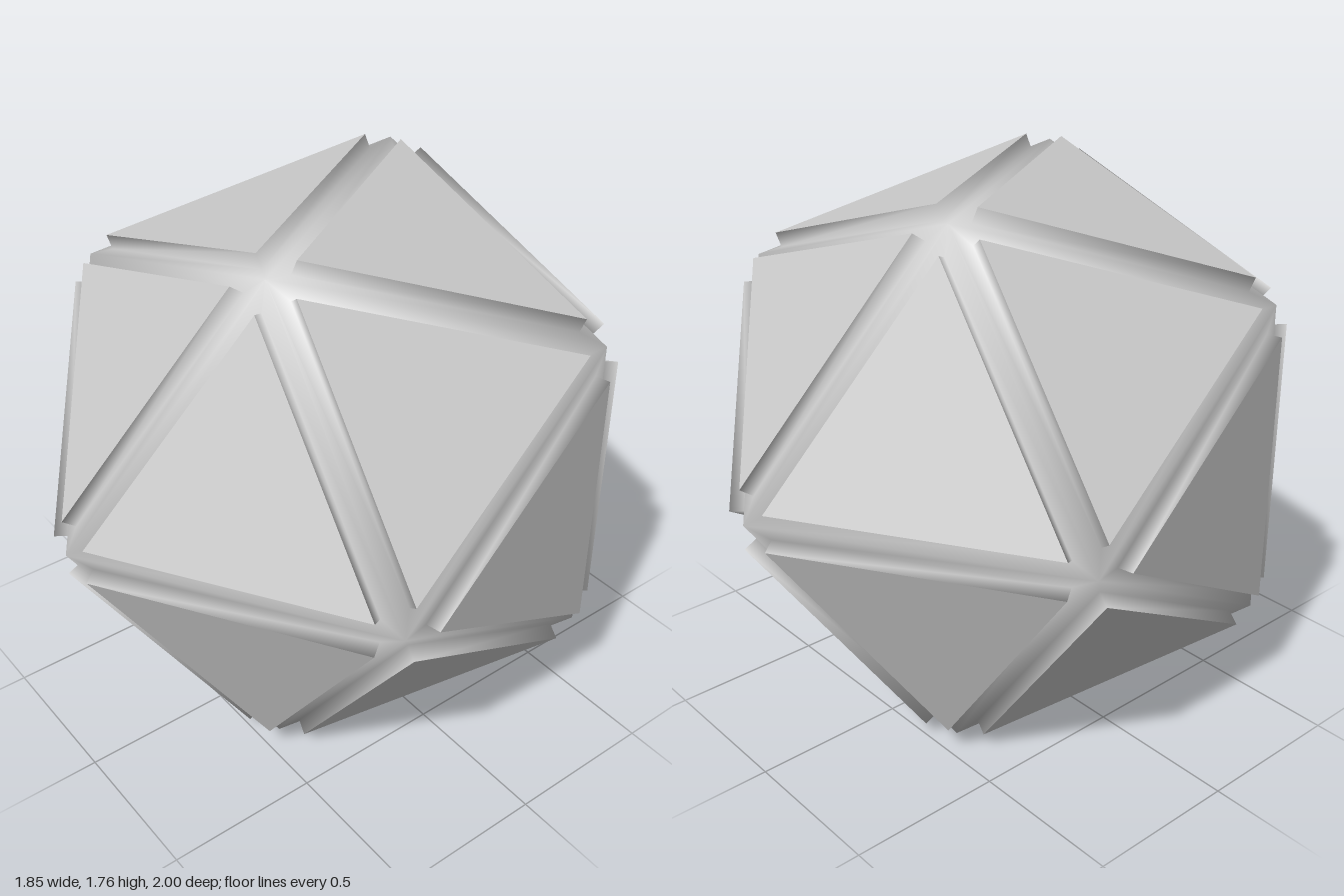
import * as THREE from 'three';
import { mergeVertices } from 'three/addons/utils/BufferGeometryUtils.js';

const INSET = 0.85; // panel size relative to its face
const RAISE = 0.05; // panel height above its face
const CENTRE_Y = 0.88;

// Corners of an icosahedron of radius 1 with its axis along z
function corners() {
  const ring = (z, turn) => Array.from({ length: 5 }, (_, k) => {
    const a = (k * 2 + turn) * Math.PI / 5, r = 2 / Math.sqrt(5);
    return new THREE.Vector3(r * Math.cos(a), r * Math.sin(a), z / Math.sqrt(5));
  });
  return { tip: new THREE.Vector3(0, 0, 1), tail: new THREE.Vector3(0, 0, -1), front: ring(1, 0), back: ring(-1, 1) };
}

// The twenty triangles, anticlockwise from outside
function faces() {
  const { tip, tail, front, back } = corners();
  const list = [];
  for (let k = 0; k < 5; k++) {
    const n = (k + 1) % 5;
    list.push([tip, front[k], front[n]], [tail, back[n], back[k]]);
    list.push([front[k], back[k], front[n]], [back[k], back[n], front[n]]);
  }
  return list;
}

function geometryFrom(points) {
  const g = new THREE.BufferGeometry().setFromPoints(points);
  return g;
}

export function createModel() {
  const group = new THREE.Group();
  group.name = 'panelledIcosahedron';
  const material = new THREE.MeshStandardMaterial({ color: 0xcccccc });
  const ribs = [];
  const quad = (a, b, c, d) => ribs.push(a, b, c, a, c, d);

  faces().forEach((face) => {
    const centre = new THREE.Vector3();
    face.forEach((v) => centre.addScaledVector(v, 1 / 3));
    const lift = centre.clone().setLength(RAISE);
    const low = face.map((v) => centre.clone().lerp(v, INSET));
    const high = low.map((v) => v.clone().add(lift));

    // Rim of the face and the wall up to the panel
    for (let i = 0; i < 3; i++) {
      const j = (i + 1) % 3;
      quad(face[i], face[j], low[j], low[i]);
      quad(low[i], low[j], high[j], high[i]);
    }

    // Flat raised panel
    const geometry = geometryFrom(high);
    geometry.setIndex([0, 1, 2]);
    geometry.computeVertexNormals();
    const panel = new THREE.Mesh(geometry, material);
    panel.name = 'panel';
    group.add(panel);
  });

  // Ridged ribs and panel walls, shaded smoothly as one surface
  const ribGeometry = mergeVertices(geometryFrom(ribs), 1e-4);
  ribGeometry.computeVertexNormals();
  const ribMesh = new THREE.Mesh(ribGeometry, material);
  ribMesh.name = 'ribFrame';
  group.add(ribMesh);

  group.position.y = CENTRE_Y;
  return group;
}
